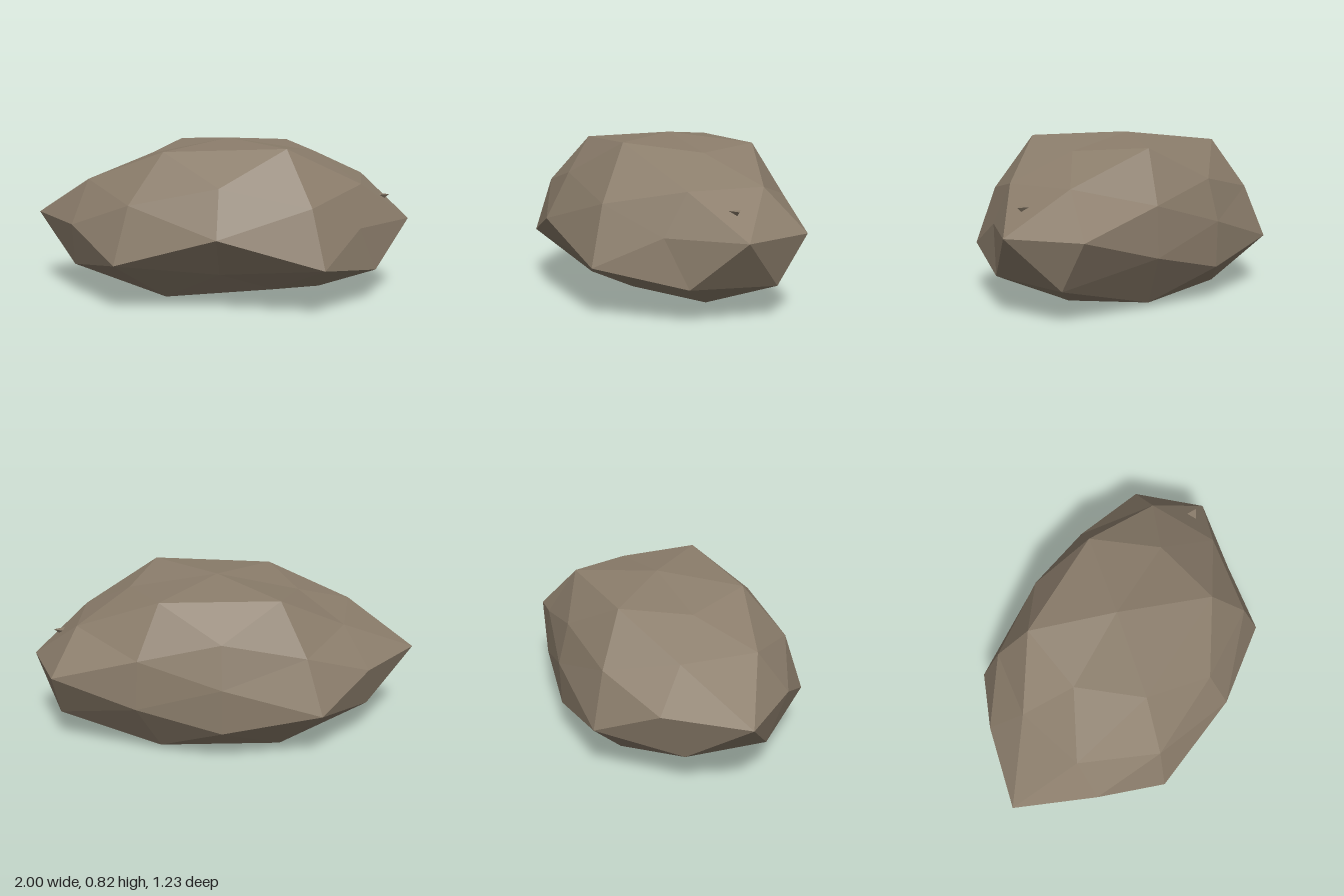
import * as THREE from 'three';

// Radius of each vertex of a subdivided icosahedron, grouped by the kind of direction.
// Index inside a group: +1 if x < 0, +2 if y < 0, +4 if z < 0.
const RADII = {
  // edge midpoints, named by the dominant axis
  midX: [0.86, 0.89, 0.965, 0.987, 0.88, 0.79, 1.005, 0.95],
  midY: [1.035, 0.97, 0.84, 0.95, 0.96, 0.96, 0.975, 0.98],
  midZ: [0.9, 0.9, 1.035, 1.03, 0.81, 0.83, 0.835, 0.975],
  // original corners, named by the axis on which they are zero
  cornerX: { 0: 0.905, 2: 0.82, 4: 0.825, 6: 0.91 },
  cornerY: { 0: 0.815, 1: 0.915, 4: 0.978, 5: 0.88 },
  cornerZ: { 0: 0.86, 1: 0.8, 2: 0.933, 3: 0.985 },
  // vertices on the axes
  axisX: { 0: 0.957, 1: 1.043 },
  axisY: { 0: 0.865, 2: 0.837 },
  axisZ: { 0: 0.94, 4: 0.783 },
};
const SCALE = new THREE.Vector3(1, 0.484, 0.711);
const CENTRE = new THREE.Vector3(0.04, 0.406, -0.056);

function radiusOf(v) {
  const c = [v.x, v.y, v.z];
  const size = c.map(Math.abs);
  const zeros = size.filter((s) => s < 1e-3).length;
  const kind = ['mid', 'corner', 'axis'][zeros];
  const extreme = zeros === 1 ? Math.min(...size) : Math.max(...size);
  const octant = c.reduce((sum, n, i) => sum + (n < -1e-3 ? 1 << i : 0), 0);
  return RADII[kind + 'XYZ'[size.indexOf(extreme)]][octant];
}

export function createModel() {
  const stone = new THREE.MeshStandardMaterial({ color: 0x8b7d6b });
  stone.name = 'stone';
  stone.flatShading = true;
  const group = new THREE.Group();
  group.name = 'rock';

  // Boulder: a faceted ball, dented vertex by vertex and squashed
  const geometry = new THREE.IcosahedronGeometry(1, 1);
  const position = geometry.attributes.position;
  const v = new THREE.Vector3();
  for (let i = 0; i < position.count; i++) {
    v.fromBufferAttribute(position, i).normalize();
    v.multiplyScalar(radiusOf(v)).multiply(SCALE).add(CENTRE);
    position.setXYZ(i, v.x, v.y, v.z);
  }
  geometry.computeVertexNormals();
  const boulder = new THREE.Mesh(geometry, stone);
  boulder.name = 'boulder';
  group.add(boulder);

  // Tiny chip poking out of the left end
  const chip = new THREE.Mesh(new THREE.ConeGeometry(0.036, 0.03, 3), stone);
  chip.name = 'chip';
  chip.rotation.z = Math.PI;
  chip.rotation.y = Math.PI / 2;
  chip.position.set(0.858, 0.518, -0.054);
  group.add(chip);

  return group;
}
